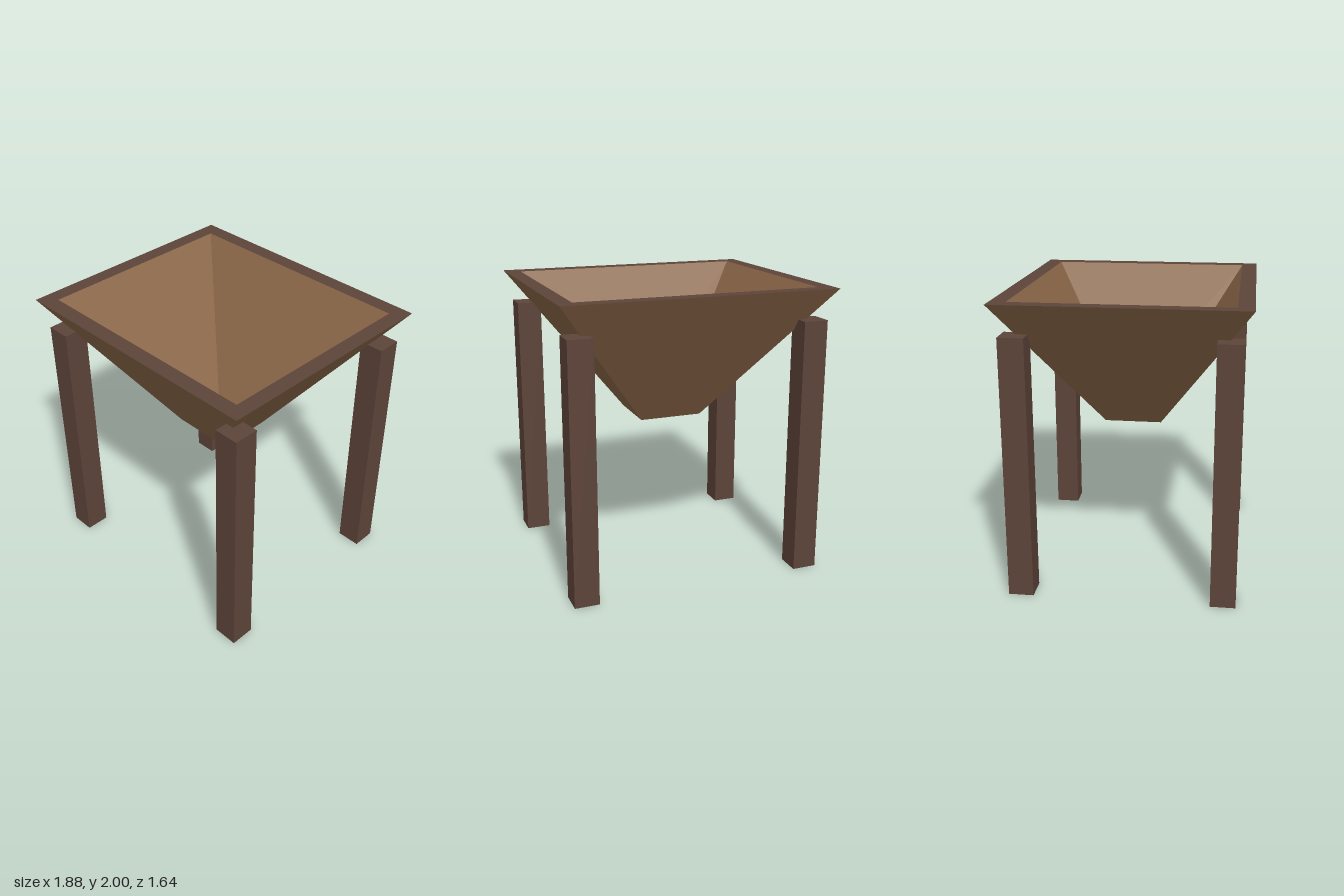
import * as THREE from 'three';

// Four corners of a rectangle at height y, counter-clockwise seen from above
const ring = (x, z, y) => [[x, y, z], [x, y, -z], [-x, y, -z], [-x, y, z]];

// Flat-shaded mesh from a list of four-cornered faces
function quadMesh(name, quads, material) {
  const points = quads.flatMap(([a, b, c, d]) => [a, b, c, a, c, d]).flat();
  const geometry = new THREE.BufferGeometry();
  geometry.setAttribute('position', new THREE.Float32BufferAttribute(points, 3));
  geometry.computeVertexNormals();
  const mesh = new THREE.Mesh(geometry, material);
  mesh.name = name;
  return mesh;
}

// Faces joining one ring to the next
const band = (a, b) => a.map((p, i) => {
  const j = (i + 1) % 4;
  return [p, a[j], b[j], b[i]];
});

export function createModel() {
  const lightWood = new THREE.MeshStandardMaterial({ color: 0x8b6748 });
  lightWood.name = 'light wood';
  const darkWood = new THREE.MeshStandardMaterial({ color: 0x5d4439 });
  darkWood.name = 'dark wood';

  const model = new THREE.Group();
  model.name = 'hopper on legs';

  // Hopper: tapered outer shell, flat rim, parallel inner basin
  const outerBottom = ring(0.22, 0.195, 1.05);
  const outerTop = ring(0.94, 0.82, 2);
  const innerTop = ring(0.835, 0.712, 2);
  const innerFloor = ring(0.158, 0.128, 1.11);

  const hopper = new THREE.Group();
  hopper.name = 'hopper';
  hopper.add(
    quadMesh('outerShell', [...band(outerBottom, outerTop), [...outerBottom].reverse()], lightWood),
    quadMesh('rim', band(outerTop, innerTop), darkWood),
    quadMesh('innerBasin', [...band(innerTop, innerFloor), innerFloor], lightWood),
  );
  model.add(hopper);

  // Four square legs let into the hopper walls
  const legHeight = 1.785;
  const legGeometry = new THREE.BoxGeometry(0.17, legHeight, 0.17);
  for (const [sz, end] of [[1, 'front'], [-1, 'back']]) {
    for (const [sx, side] of [[1, 'Left'], [-1, 'Right']]) {
      const leg = new THREE.Mesh(legGeometry, darkWood);
      leg.name = `${end}${side}Leg`;
      leg.position.set(sx * 0.805, legHeight / 2, sz * 0.682);
      model.add(leg);
    }
  }
  return model;
}
